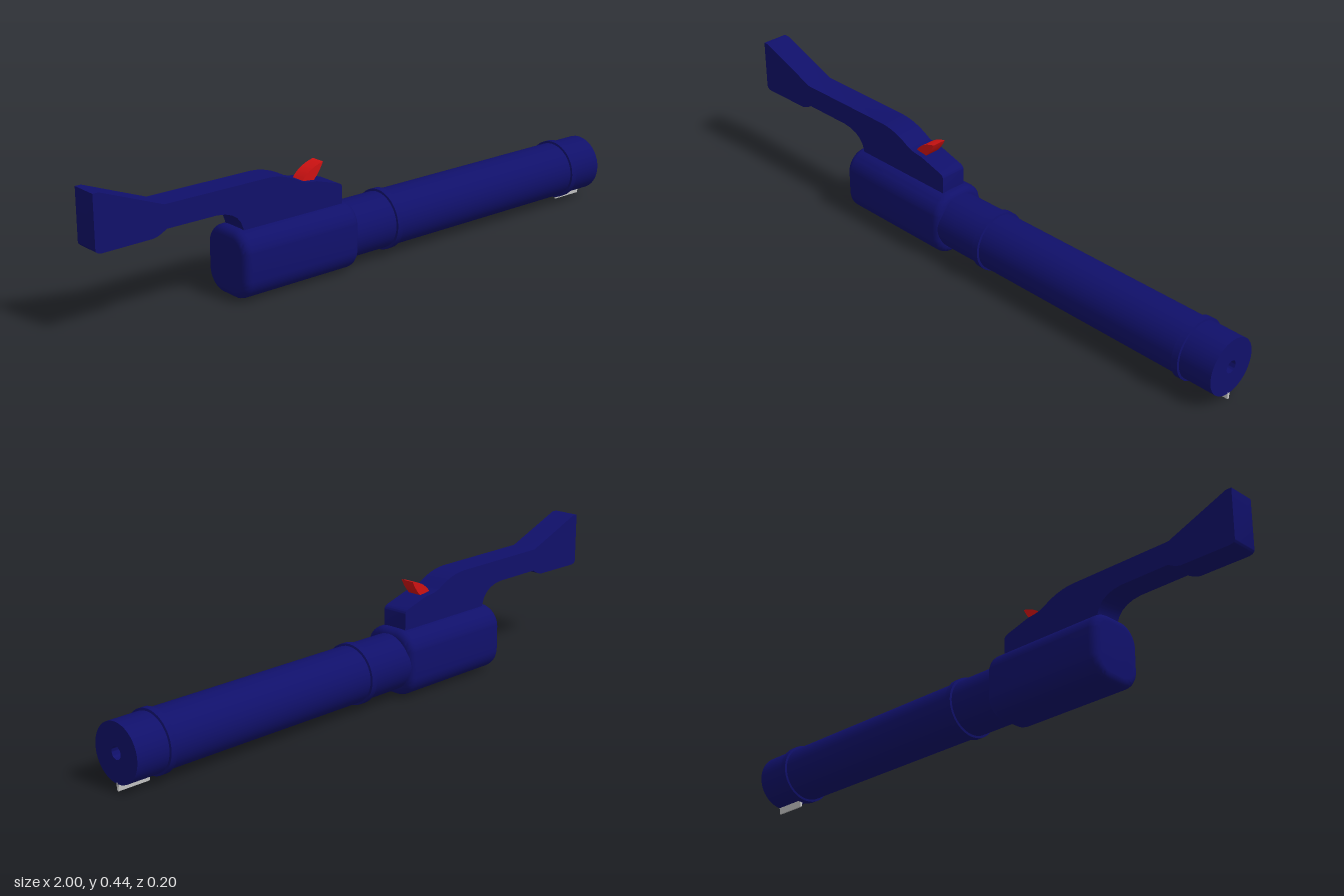
import * as THREE from 'three';
import { toCreasedNormals } from 'three/addons/utils/BufferGeometryUtils.js';

const AXIS_Y = 0.113;
const navy = new THREE.MeshStandardMaterial({ color: 0x10106a });
const red = new THREE.MeshStandardMaterial({ color: 0xd01212 });
const grey = new THREE.MeshStandardMaterial({ color: 0xcccccc });

export function createModel() {
  const group = new THREE.Group();
  const add = (name, geometry, material = navy) => {
    const mesh = new THREE.Mesh(toCreasedNormals(geometry, 0.6), material);
    mesh.name = name;
    group.add(mesh);
    return mesh;
  };
  // Revolve [radius, x] points around the barrel axis
  const turned = (points) => new THREE.LatheGeometry(points.map(([r, x]) => new THREE.Vector2(r, x)), 40)
    .rotateZ(-Math.PI / 2).translate(0, AXIS_Y, 0);
  // Extrude an xy outline between two z positions
  const slab = (shape, z0, z1) => new THREE.ExtrudeGeometry(shape,
    { depth: z1 - z0, bevelEnabled: false, curveSegments: 6 }).translate(0, 0, z0);

  // Barrel with a small recess in its end face
  add('barrel', turned([[0, -0.2], [0.092, -0.2], [0.092, 1], [0.02, 1], [0.02, 0.97], [0, 0.97]]));

  // Raised bands
  for (const [name, x] of [['rearBand', 0.075], ['frontBand', 0.875]]) {
    add(name, turned([[0.09, x - 0.013], [0.099, x - 0.011], [0.099, x + 0.011], [0.09, x + 0.013]]));
  }

  // Rounded motor housing, extruded along x with bevelled ends
  const bevel = 0.025, w = 0.098 - bevel, h = 0.1075 - bevel, r = 0.045;
  const section = new THREE.Shape();
  section.moveTo(w, h - r);
  [[1, 1], [-1, 1], [-1, -1], [1, -1]].forEach(([sx, sy], i) => {
    section.absarc(sx * (w - r), sy * (h - r), r, i * Math.PI / 2, (i + 1) * Math.PI / 2, false);
  });
  add('housing', new THREE.ExtrudeGeometry(section, {
    depth: 0.44 - 2 * bevel, bevelSize: bevel, bevelThickness: bevel, bevelSegments: 4, curveSegments: 6,
  }).rotateY(Math.PI / 2).translate(-0.53 + bevel, AXIS_Y, 0));

  // Handle with a flared butt
  const handle = new THREE.Shape();
  handle.moveTo(-0.12, 0.2);
  handle.lineTo(-0.12, 0.272);
  handle.quadraticCurveTo(-0.122, 0.282, -0.135, 0.286);
  handle.lineTo(-0.22, 0.311);
  handle.quadraticCurveTo(-0.265, 0.313, -0.285, 0.325);
  handle.quadraticCurveTo(-0.34, 0.358, -0.4, 0.36);
  handle.lineTo(-0.77, 0.36);
  handle.lineTo(-0.98, 0.441);
  handle.lineTo(-1, 0.441);
  handle.lineTo(-1, 0.278);
  handle.quadraticCurveTo(-0.998, 0.266, -0.98, 0.265);
  handle.lineTo(-0.81, 0.267);
  handle.quadraticCurveTo(-0.79, 0.27, -0.765, 0.286);
  handle.lineTo(-0.59, 0.286);
  handle.quadraticCurveTo(-0.495, 0.28, -0.495, 0.2);
  add('handle', slab(handle, -0.045, 0.045));

  // Curved red trigger
  const trigger = new THREE.Shape();
  trigger.moveTo(-0.262, 0.312);
  trigger.quadraticCurveTo(-0.235, 0.35, -0.18, 0.361);
  trigger.quadraticCurveTo(-0.197, 0.325, -0.222, 0.305);
  add('trigger', slab(trigger, -0.021, 0.027), red);

  // Thin tapered sight under the end of the barrel
  const sight = new THREE.Shape([[-0.006, 0.025], [-0.0025, 0], [0.0025, 0], [0.006, 0.025]]
    .map(([z, y]) => new THREE.Vector2(z, y)));
  add('sight', new THREE.ExtrudeGeometry(sight, { depth: 0.11, bevelEnabled: false })
    .rotateY(Math.PI / 2).translate(0.89, 0, 0), grey);

  return group;
}
